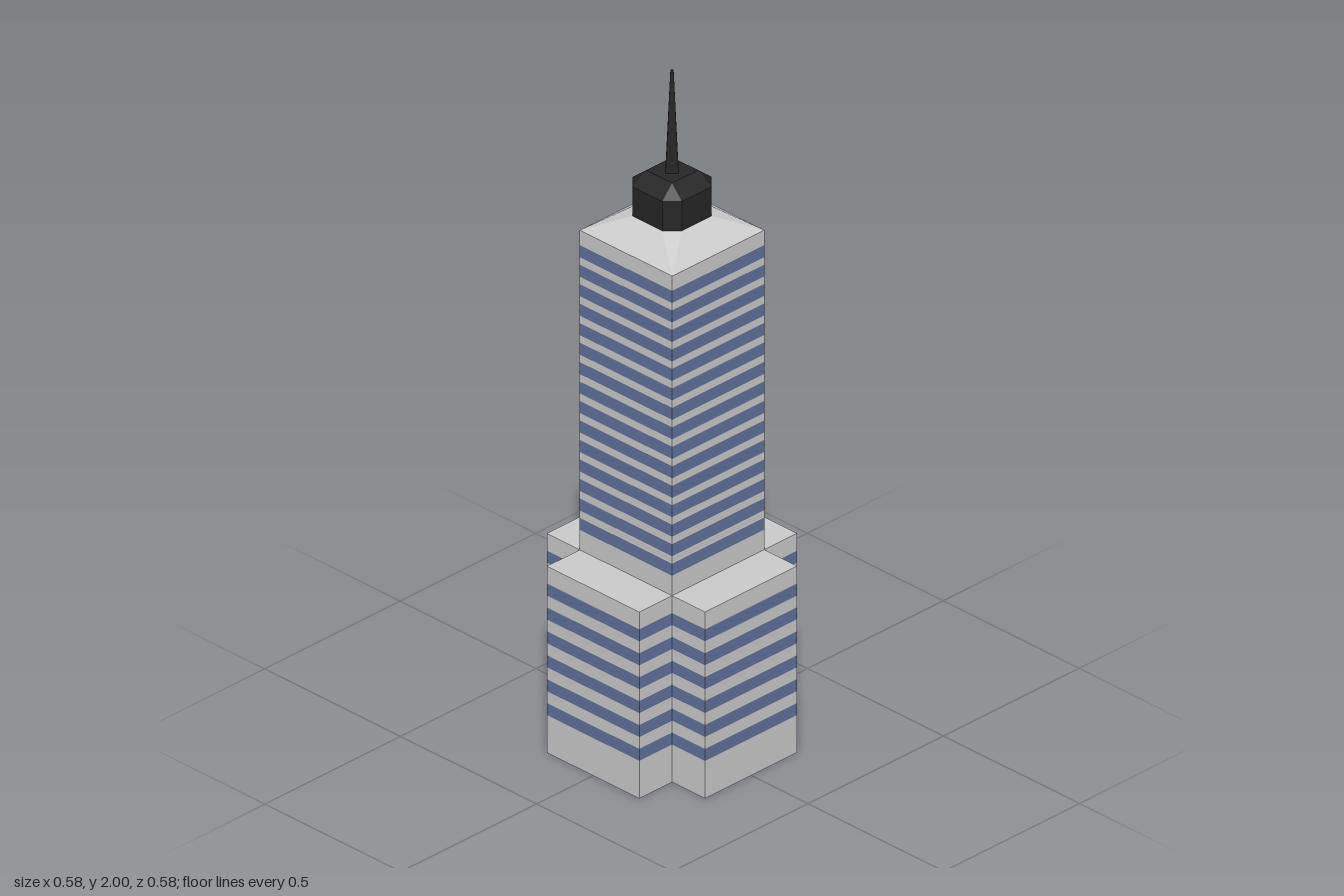
import * as THREE from 'three';
import { mergeGeometries } from 'three/addons/utils/BufferGeometryUtils.js';

const material = (color) => new THREE.MeshStandardMaterial({ color, flatShading: true });
const stone = material(0xcccccc);
const glass = material(0x62729c);
const dark = material(0x262626);

// Repeats one quadrant of [x, z] corners around the vertical axis
function outline(quadrant) {
  const points = [];
  let corners = quadrant;
  for (let q = 0; q < 4; q++) {
    points.push(...corners);
    corners = corners.map(([x, z]) => [-z, x]);
  }
  return points;
}
const square = (half) => outline([[half, half], [half, half]]);
const octagon = (half, cut) => outline([[half, cut], [cut, half]]);

// Open wall between two outlines with equal point counts
function wall(lower, y0, upper, y1) {
  const positions = [];
  lower.forEach((_, i) => {
    const j = (i + 1) % lower.length;
    const at = ([x, z], y) => new THREE.Vector3(x, y, z);
    const a = at(lower[i], y0), b = at(lower[j], y0);
    const c = at(upper[i], y1), d = at(upper[j], y1);
    for (const t of [[a, c, b], [b, c, d]]) {
      if (new THREE.Triangle(...t).getArea() > 1e-7) {
        t.forEach((p) => positions.push(p.x, p.y, p.z));
      }
    }
  });
  const geometry = new THREE.BufferGeometry();
  geometry.setAttribute('position', new THREE.Float32BufferAttribute(positions, 3));
  geometry.computeVertexNormals();
  return geometry;
}

// Flat lid, facing up or down; outlines are symmetric
function cap(points, y, up) {
  const shape = new THREE.Shape(points.map(([x, z]) => new THREE.Vector2(x, z)));
  const geometry = new THREE.ShapeGeometry(shape).toNonIndexed();
  geometry.deleteAttribute('uv');
  return geometry.rotateX(up ? -Math.PI / 2 : Math.PI / 2).translate(0, y, 0);
}

function addMesh(group, name, geometries, mat) {
  const mesh = new THREE.Mesh(mergeGeometries(geometries), mat);
  mesh.name = name;
  group.add(mesh);
}

// Walls with flush window bands alternating with stone
function bandedBlock(name, points, y0, y1, first, pitch, height, count, caps) {
  const block = new THREE.Group();
  block.name = name;
  const walls = [...caps], windows = [];
  let y = y0;
  for (let i = 0; i < count; i++) {
    const start = first + i * pitch;
    walls.push(wall(points, y, points, start));
    y = start + height;
    windows.push(wall(points, start, points, y));
  }
  walls.push(wall(points, y, points, y1));
  addMesh(block, name + 'Walls', walls, stone);
  addMesh(block, name + 'WindowBands', windows, glass);
  return block;
}

export function createModel() {
  const model = new THREE.Group();
  model.name = 'skyscraper';

  // Cross-shaped base
  const cross = outline([[0.291, 0.17], [0.17, 0.17], [0.17, 0.291]]);
  model.add(bandedBlock('base', cross, 0, 0.56, 0.113, 0.0718, 0.036, 6,
    [cap(cross, 0, false), cap(cross, 0.56, true)]));

  // Square shaft
  const shaft = square(0.17);
  model.add(bandedBlock('shaft', shaft, 0.56, 1.52, 0.62, 0.0585, 0.036, 15, []));

  // Sloping roof from the shaft to the crown
  const ring = octagon(0.091, 0.055);
  addMesh(model, 'roof', [wall(shaft, 1.52, ring, 1.577)], stone);

  // Chamfered crown with a tapered top
  const crownTop = square(0.048);
  const lid = crownTop.filter((_, i) => i % 2 === 0);
  addMesh(model, 'crown', [
    wall(ring, 1.577, ring, 1.665),
    wall(ring, 1.665, crownTop, 1.7),
    cap(lid, 1.7, true),
  ], dark);

  // Four-sided spire
  const spire = new THREE.CylinderGeometry(0.006, 0.024, 0.3, 4).translate(0, 1.85, 0);
  addMesh(model, 'spire', [spire], dark);

  return model;
}
